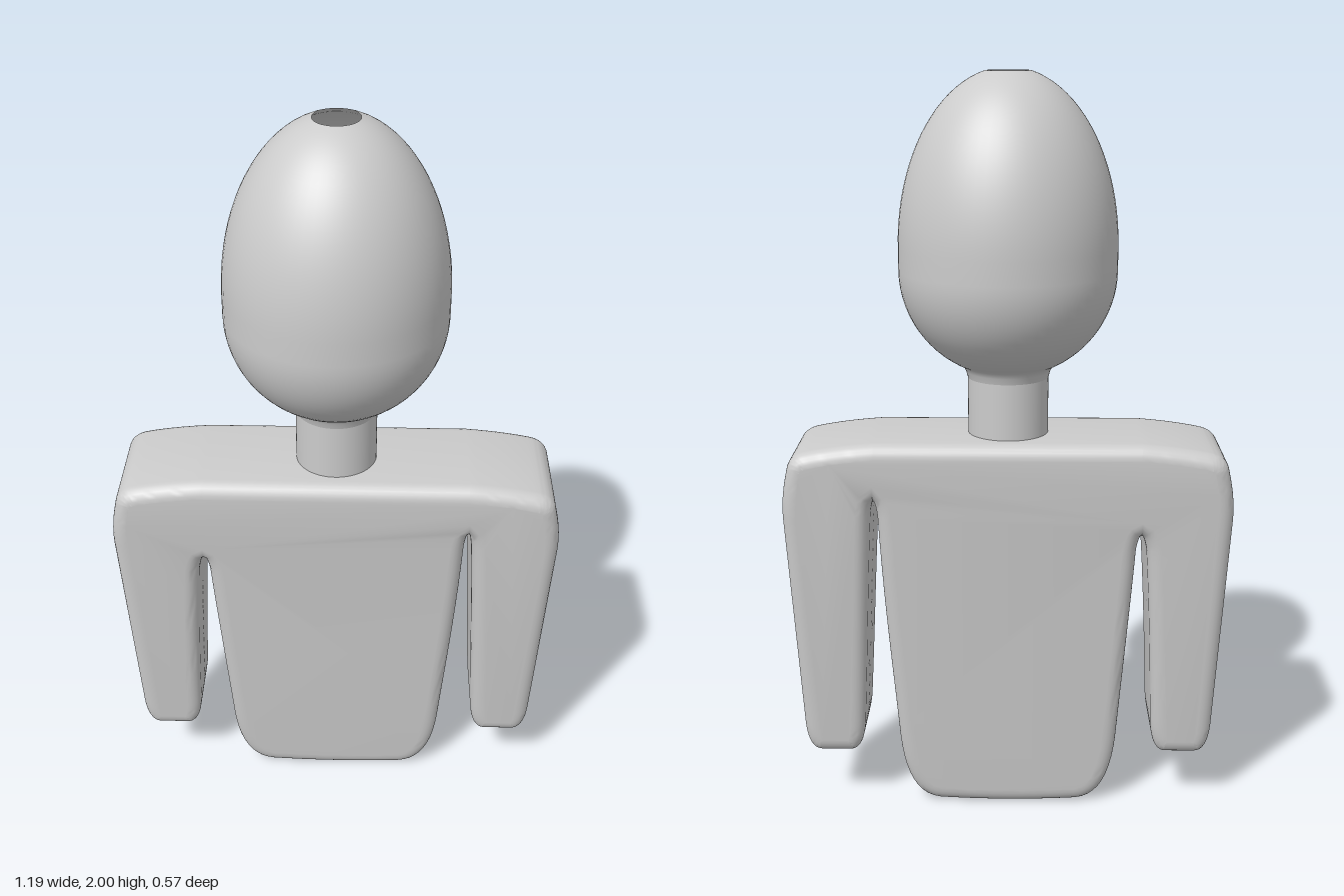
import * as THREE from 'three';
import { toCreasedNormals } from 'three/addons/utils/BufferGeometryUtils.js';

const material = new THREE.MeshStandardMaterial({ color: 0xcccccc });
const openMaterial = new THREE.MeshStandardMaterial({ color: 0xcccccc, side: THREE.DoubleSide });

// Front outline of torso and both arms; the two armpits differ in height.
function bodyOutline(leftArmpit, rightArmpit) {
  const s = new THREE.Shape();
  s.moveTo(-0.19, 0.006);
  s.quadraticCurveTo(0, -0.006, 0.19, 0.006);
  s.bezierCurveTo(0.26, 0.014, 0.29, 0.09, 0.3, 0.2);
  // left armpit and arm
  s.bezierCurveTo(0.315, 0.4, 0.335, 0.6, 0.345, leftArmpit - 0.05);
  s.quadraticCurveTo(0.355, leftArmpit + 0.03, 0.364, leftArmpit - 0.05);
  s.bezierCurveTo(0.375, 0.7, 0.385, 0.45, 0.396, 0.26);
  s.quadraticCurveTo(0.4, 0.16, 0.44, 0.16);
  s.lineTo(0.52, 0.16);
  s.quadraticCurveTo(0.56, 0.16, 0.565, 0.25);
  s.lineTo(0.596, 0.86);
  // shoulders and top
  s.bezierCurveTo(0.597, 0.92, 0.587, 0.96, 0.578, 1.0);
  s.quadraticCurveTo(0.57, 1.03, 0.535, 1.04);
  s.quadraticCurveTo(0.46, 1.057, 0.35, 1.065);
  s.lineTo(-0.35, 1.065);
  s.quadraticCurveTo(-0.46, 1.057, -0.535, 1.04);
  s.quadraticCurveTo(-0.57, 1.03, -0.578, 1.0);
  s.bezierCurveTo(-0.587, 0.96, -0.597, 0.92, -0.596, 0.86);
  // right arm and armpit
  s.lineTo(-0.565, 0.25);
  s.quadraticCurveTo(-0.56, 0.16, -0.52, 0.16);
  s.lineTo(-0.44, 0.16);
  s.quadraticCurveTo(-0.4, 0.16, -0.396, 0.26);
  s.bezierCurveTo(-0.39, 0.45, -0.38, 0.65, -0.37, rightArmpit - 0.05);
  s.quadraticCurveTo(-0.355, rightArmpit + 0.03, -0.342, rightArmpit - 0.05);
  s.bezierCurveTo(-0.335, 0.65, -0.315, 0.4, -0.3, 0.2);
  s.bezierCurveTo(-0.29, 0.09, -0.26, 0.014, -0.19, 0.006);
  return s;
}

// Rounded slab that gets thinner towards the bottom
function createBody() {
  const half = 0.164, bevel = 0.038;
  const geometry = new THREE.ExtrudeGeometry(bodyOutline(0.915, 0.82), {
    depth: 2 * (half - bevel), curveSegments: 10,
    bevelThickness: bevel, bevelSize: bevel, bevelOffset: -bevel, bevelSegments: 6,
  });
  geometry.translate(0, 0, bevel - half);
  const p = geometry.attributes.position;
  for (let i = 0; i < p.count; i++) {
    const taper = 1 - 0.366 * (1 - Math.min(p.getY(i), 1));
    p.setZ(i, p.getZ(i) * taper);
  }
  const mesh = new THREE.Mesh(toCreasedNormals(geometry, 0.7), material);
  mesh.name = 'torsoAndArms';
  return mesh;
}

// Egg-shaped head, open at the crown, flowing into the neck
function createHead() {
  const profile = [new THREE.Vector2(0.107, 1.215), new THREE.Vector2(0.112, 1.232)];
  const radius = 0.285;
  for (let i = 0; i <= 14; i++) {
    const a = THREE.MathUtils.lerp(-1.14, 0, i / 14);
    profile.push(new THREE.Vector2(radius * Math.cos(a), 1.5 + 0.28 * Math.sin(a)));
  }
  const crown = Math.acos(0.058 / radius);
  for (let i = 0; i <= 20; i++) {
    const a = crown * i / 20;
    profile.push(new THREE.Vector2(radius * Math.cos(a), 1.56 + 0.449 * Math.sin(a)));
  }
  const mesh = new THREE.Mesh(new THREE.LatheGeometry(profile, 64), openMaterial);
  mesh.name = 'head';
  return mesh;
}

function createNeck() {
  const mesh = new THREE.Mesh(new THREE.CylinderGeometry(0.107, 0.107, 0.165, 64, 1, true), openMaterial);
  mesh.position.y = 1.1325;
  mesh.name = 'neck';
  return mesh;
}

export function createModel() {
  const model = new THREE.Group();
  model.name = 'bust';
  model.add(createBody(), createNeck(), createHead());
  return model;
}
